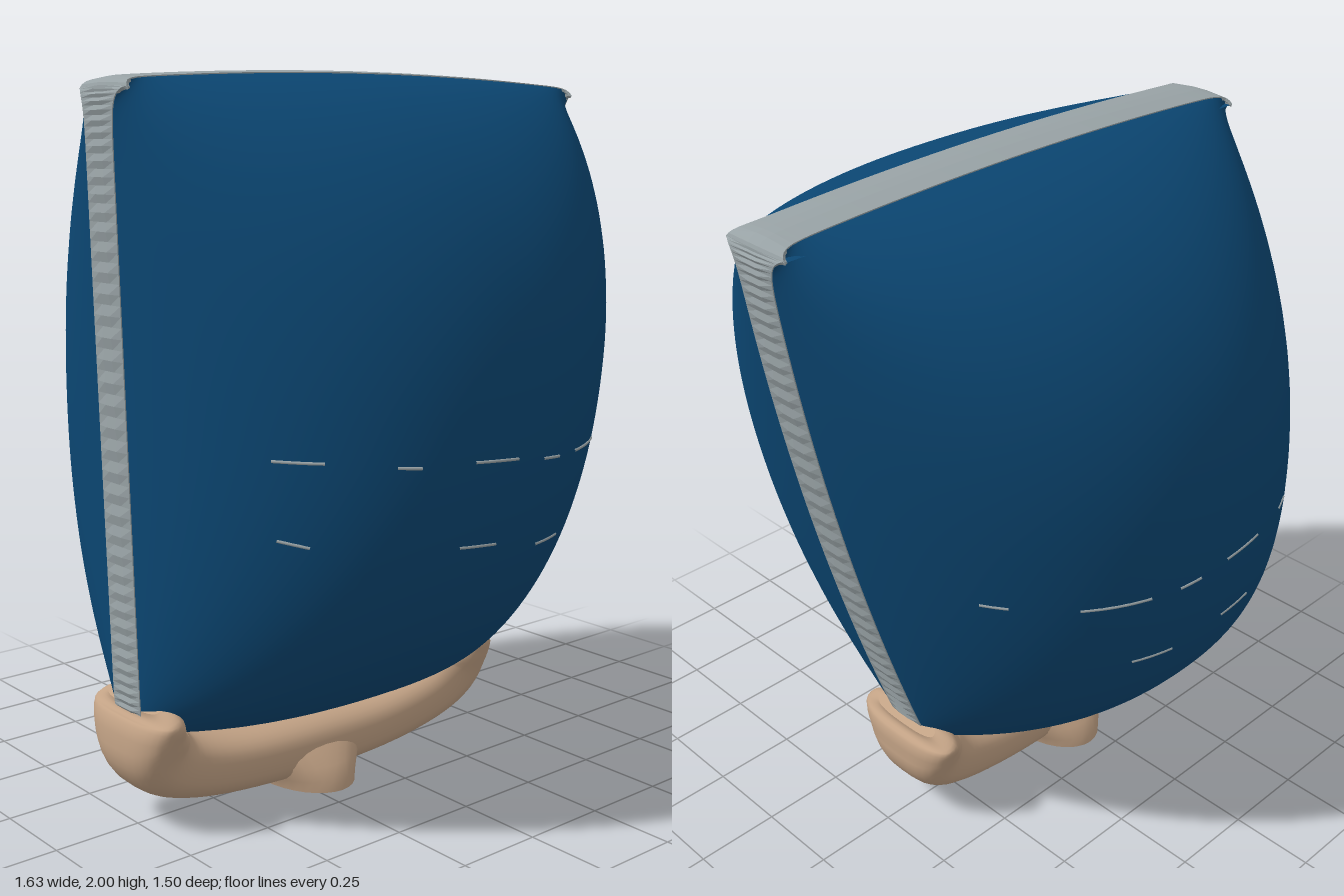
import * as THREE from 'three';

const mat = (name, color) => {
  const m = new THREE.MeshStandardMaterial({ color });
  m.name = name;
  return m;
};

// Skins a list of rings (counter-clockwise about the sweep direction)
function loft(rings, { caps = false, loop = false, flat = false } = {}) {
  const n = rings[0].length, pos = rings.flat(2), index = [];
  const last = loop ? rings.length : rings.length - 1;
  for (let i = 0; i < last; i++) {
    const a = i * n, b = ((i + 1) % rings.length) * n;
    for (let j = 0; j < n; j++) {
      const k = (j + 1) % n;
      index.push(a + j, a + k, b + k, a + j, b + k, b + j);
    }
  }
  if (caps) {
    [rings[0], rings[rings.length - 1]].forEach((ring, end) => {
      const base = pos.length / 3;
      pos.push(...ring.flat());
      for (let j = 1; j < n - 1; j++) {
        index.push(base, base + (end ? j : j + 1), base + (end ? j + 1 : j));
      }
    });
  }
  let g = new THREE.BufferGeometry();
  g.setAttribute('position', new THREE.Float32BufferAttribute(pos, 3));
  g.setIndex(index);
  if (flat) g = g.toNonIndexed();
  g.computeVertexNormals();
  return g;
}

// Outline of the body: u runs left to right, v bottom to top, both -1..1
function outline(u, v) {
  const t = (v + 1) / 2;
  const xl = -0.77 - 0.04 * t, xr = 0.385 + 0.63 * t - 0.2 * t * t;
  const yb = 0.237 + 0.045 * u ** 4, yt = 1.991 - 0.028 * u * u;
  const round = 0.02 * Math.abs(u * v) ** 40; // softened corners
  return [
    (xl + xr) / 2 + (u * (xr - xl)) / 2 - Math.sign(u) * round,
    yb + (yt - yb) * t - Math.sign(v) * round,
  ];
}

// Half width of the edge strip, wider along the top and at the upper corners
function edgeHalf(u, v) {
  const top = Math.max(0, v) ** 24;
  return 0.063 + 0.017 * top + 0.03 * top * Math.abs(u) ** 24;
}

// Half depth of the body
function depth(u, v) {
  const bulge = 0.745 * Math.sqrt(
    Math.max(0, (1 - Math.abs(u) ** 2.25) * (1 - Math.abs(v) ** 2.15)));
  return Math.hypot(bulge, edgeHalf(u, v));
}

// Inflated body
function inflatedBody() {
  const rings = [], rows = 72, cols = 56;
  for (let i = 0; i <= rows; i++) {
    const v = -Math.cos((i / rows) * Math.PI);
    const face = dir => Array.from({ length: cols + 1 }, (_, j) => {
      const u = -dir * Math.cos((j / cols) * Math.PI);
      return [...outline(u, v), dir * depth(u, v)];
    });
    rings.push([...face(-1), ...face(1)]);
  }
  return loft(rings, { caps: true });
}

// Bevelled, ribbed band around the edge strip
function edgeBand() {
  const path = [];
  const side = (count, rib, f) => {
    for (let i = 0; i < count; i++) {
      // closer steps near the corners
      const uv = f(-Math.cos((i / count) * Math.PI));
      path.push({ p: outline(...uv), w: edgeHalf(...uv), rib });
    }
  };
  side(40, false, s => [s, -1]);
  side(90, true, s => [1, s]);
  side(40, false, s => [-s, 1]);
  side(90, true, s => [-1, -s]);
  const n = path.length;
  const rings = path.map(({ p, w, rib }, i) => {
    const a = path[(i + n - 1) % n].p, b = path[(i + 1) % n].p;
    const d = Math.hypot(b[0] - a[0], b[1] - a[1]);
    const nx = (b[1] - a[1]) / d, ny = -(b[0] - a[0]) / d;
    const top = rib && i % 2 ? 0.004 : 0.009;
    return [[w, 0.003], [0.02, top], [-0.02, top], [-w, 0.003], [-w, -0.006], [w, -0.006]]
      .map(([z, o]) => [p[0] + nx * o, p[1] + ny * o, z]);
  });
  return loft(rings, { loop: true, flat: true });
}

// Rounded section with a squarish superellipse shape
function section(f, power) {
  const sq = c => Math.sign(c) * Math.abs(c) ** power;
  return Array.from({ length: 32 }, (_, j) => {
    const a = (j / 32) * Math.PI * 2;
    return f(sq(Math.cos(a)), sq(Math.sin(a)));
  });
}

// Curved base whose raised ends grip the lower corners
function base() {
  // x, y, half thickness, half depth
  const stations = [
    [-0.75, 0.352, 0.025, 0.12], [-0.737, 0.325, 0.052, 0.185], [-0.735, 0.265, 0.08, 0.17],
    [-0.705, 0.195, 0.1, 0.14], [-0.62, 0.145, 0.09, 0.13], [-0.45, 0.112, 0.085, 0.125],
    [-0.19, 0.1, 0.087, 0.125], [0.05, 0.105, 0.085, 0.125], [0.24, 0.14, 0.09, 0.13],
    [0.345, 0.195, 0.1, 0.14], [0.382, 0.265, 0.077, 0.17], [0.393, 0.32, 0.05, 0.185],
    [0.41, 0.345, 0.023, 0.12],
  ];
  const path = new THREE.SplineCurve(stations.map(s => new THREE.Vector2(s[0], s[1])));
  const size = new THREE.SplineCurve(stations.map(s => new THREE.Vector2(s[2], s[3])));
  return loft(Array.from({ length: 61 }, (_, i) => {
    const p = path.getPoint(i / 60), t = path.getTangent(i / 60), h = size.getPoint(i / 60);
    return section((c, s) => [p.x - t.y * c * h.x, p.y + t.x * c * h.x, s * h.y], 0.75);
  }), { caps: true });
}

// Flared oval foot; stations: y, half width, half depth
function foot() {
  return loft([[0, 0.13, 0.195], [0.03, 0.14, 0.19], [0.07, 0.17, 0.17], [0.11, 0.2, 0.13], [0.15, 0.22, 0.09]]
    .map(([y, hx, hz]) => section((c, s) => [-0.19 + c * hx, y, -s * hz], 1)), { caps: true });
}

export function createModel() {
  const group = new THREE.Group();
  const blue = mat('blue fabric', 0x0b4672);
  const grey = mat('grey band', 0x98a2a5);
  const tan = mat('tan base', 0xc2a285);
  const add = (name, geometry, material) => {
    const mesh = new THREE.Mesh(geometry, material);
    mesh.name = name;
    group.add(mesh);
  };

  add('inflatedBody', inflatedBody(), blue);
  add('edgeBand', edgeBand(), grey);
  add('base', base(), tan);
  add('foot', foot(), tan);

  // Broken stitch lines across both faces: start u, end u, v at start, v at end
  const stitches = [
    [-0.8, -0.68, -0.06, -0.06], [-0.48, -0.4, -0.075, -0.08], [-0.2, 0, -0.08, -0.09],
    [0.14, 0.24, -0.105, -0.11], [0.36, 0.6, -0.11, -0.11], [0.78, 0.84, -0.105, -0.105],
    [-0.78, -0.7, -0.29, -0.305], [-0.2, -0.02, -0.33, -0.34], [0.24, 0.42, -0.38, -0.38],
  ];
  for (const dir of [1, -1]) {
    for (const [u0, u1, v0, v1] of stitches) {
      const points = [0, 0.33, 0.67, 1].map(k => {
        const u = u0 + (u1 - u0) * k, v = v0 + (v1 - v0) * k;
        return new THREE.Vector3(...outline(u, v), dir * depth(u, v));
      });
      add('stitch', new THREE.TubeGeometry(new THREE.CatmullRomCurve3(points), 8, 0.004, 5), grey);
    }
  }
  return group;
}
